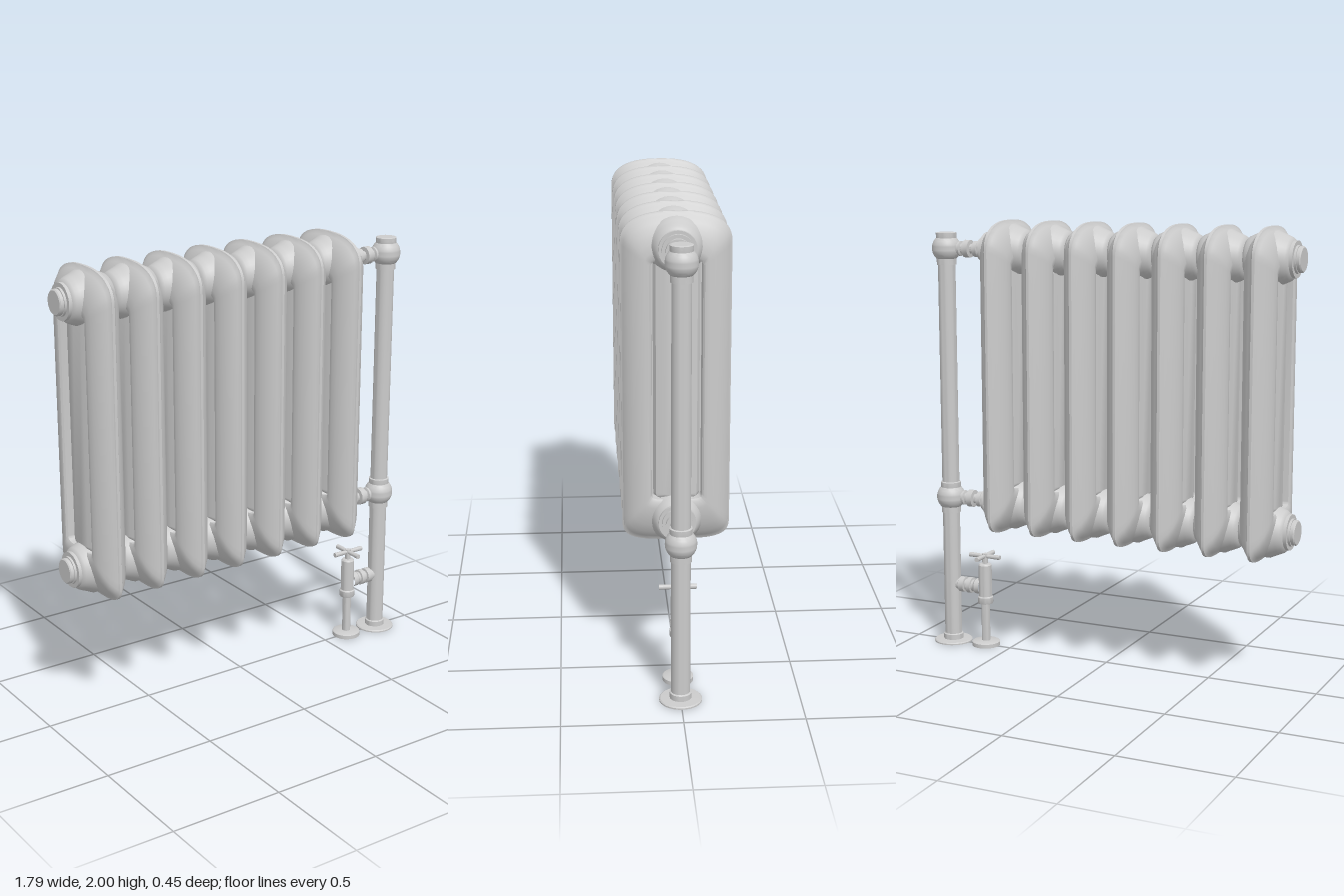
import * as THREE from 'three';
import { toCreasedNormals } from 'three/addons/utils/BufferGeometryUtils.js';

const mat = new THREE.MeshStandardMaterial({ color: 0xcccccc });
const TOP = 1.865, LOW = 0.705, PIPE_X = 0.805, VALVE_X = 0.628;

function add(parent, name, geo, x = 0, y = 0, z = 0) {
  const m = new THREE.Mesh(geo, mat);
  m.name = name;
  m.position.set(x, y, z);
  parent.add(m);
  return m;
}

// Turned part from [radius, position] pairs; runs along y, or along x if asked
function turned(profile, alongX = false, sides = 32) {
  const g = new THREE.LatheGeometry(profile.map(([r, p]) => new THREE.Vector2(r, p)), sides);
  if (alongX) g.rotateZ(-Math.PI / 2);
  return toCreasedNormals(g, 0.6);
}

// Hollow-looking cast column pair: closed loops lofted from the +x face, over the rim, to the -x face
function sectionGeometry() {
  const K = 24, rows = [];
  // Middle column and groove: [half depth, top, bottom, end height, x]
  const inner = [
    [0, 1.80, 0.80, 0, 0.058], [0.05, 1.81, 0.80, 0.02, 0.055],
    [0.085, 1.82, 0.79, 0.03, 0.042], [0.096, 1.82, 0.79, 0.03, 0.02],
    [0.102, 1.82, 0.79, 0.03, 0.02],
  ];
  // Outer column, from the groove to the thin rim: [blend, x]
  const outer = [[1, 0.062], [0.94, 0.069], [0.8, 0.07], [0.6, 0.064], [0.4, 0.053],
    [0.22, 0.037], [0.1, 0.02], [0.04, 0.009], [0, 0.006]];
  const half = [...inner, ...outer.map(([s, x]) => [
    0.226 - 0.121 * s, 2 - 0.18 * s, 0.59 + 0.2 * s, 0.13 - 0.1 * s, x])];
  half.forEach((r) => rows.push(r));
  [...half].reverse().forEach((r) => rows.push([...r.slice(0, 4), -r[4]]));

  const pos = [], idx = [], n = 2 * (K + 1);
  const pw = (v, e) => Math.sign(v) * Math.pow(Math.abs(v), e);
  for (const [hw, top, bot, ry, x] of rows) {
    for (let j = 0; j < n; j++) {
      const upper = j <= K;
      const a = ((upper ? j : j - K - 1) / K) * Math.PI;
      const e = upper ? 0.8 : 0.55;
      const c = pw(Math.cos(a), e) * (upper ? 1 : -1);
      const s = pw(Math.max(0, Math.sin(a)), e);
      pos.push(x, upper ? top - ry + ry * s : bot + ry * 0.8 * (1 - s), hw * c);
    }
  }
  for (let i = 0; i < rows.length - 1; i++) {
    for (let j = 0; j < n; j++) {
      const a = i * n + j, b = i * n + (j + 1) % n;
      idx.push(a, b, a + n, b, b + n, a + n);
    }
  }
  const g = new THREE.BufferGeometry();
  g.setAttribute('position', new THREE.Float32BufferAttribute(pos, 3));
  g.setIndex(idx);
  return toCreasedNormals(g, 0.7);
}

export function createModel() {
  const root = new THREE.Group();
  root.name = 'radiator';

  // Seven cast sections with barrel hubs that join them
  const section = sectionGeometry();
  const hub = turned([[0.07, -0.103], [0.082, -0.099], [0.092, -0.088], [0.1, -0.07], [0.108, -0.05],
    [0.118, -0.03], [0.118, 0.03], [0.108, 0.05], [0.1, 0.07], [0.092, 0.088], [0.082, 0.099], [0.07, 0.103]], true);
  for (let i = 0; i < 7; i++) {
    const g = new THREE.Group();
    g.name = 'section' + (i + 1);
    g.position.x = -0.757 + i * 0.2057;
    add(g, 'columns', section);
    add(g, 'upperHub', hub, 0, TOP);
    add(g, 'lowerHub', hub, 0, LOW);
    root.add(g);
  }

  // End plugs on one side, unions to the standpipe on the other
  const plug = turned([[0, -0.9], [0.05, -0.9], [0.055, -0.895], [0.055, -0.882], [0.06, -0.882],
    [0.06, -0.872], [0.078, -0.872], [0.078, -0.85], [0, -0.85]], true);
  const bush = turned([[0, 0.57], [0.078, 0.57], [0.078, 0.592], [0.065, 0.592], [0.065, 0.605],
    [0.05, 0.605], [0.05, 0.622], [0, 0.622]], true);
  const union = turned([[0.03, 0.61], [0.03, 0.632], [0.036, 0.634], [0.036, 0.655], [0.022, 0.66],
    [0.022, 0.675], [0.04, 0.677], [0.04, 0.705], [0.024, 0.707], [0.024, 0.722], [0.034, 0.726],
    [0.034, 0.735], [0.024, 0.74], [0.024, 0.79]], true, 16);
  const ball = [];
  for (let i = 0; i <= 12; i++) {
    const a = (-0.78 + (1.56 * i) / 12);
    ball.push([0.066 * Math.cos(a), 0.066 * Math.sin(a)]);
  }
  const joint = turned([[0.038, -0.075], [0.045, -0.075], [0.045, -0.047], ...ball,
    [0.047, 0.047], [0.047, 0.07], [0.04, 0.073]]);
  for (const [label, y] of [['upper', TOP], ['lower', LOW]]) {
    add(root, label + 'Plug', plug, 0, y);
    add(root, label + 'Bush', bush, 0, y);
    add(root, label + 'Union', union, 0, y);
    add(root, label + 'BallJoint', joint, PIPE_X, y);
  }

  // Standpipe with floor flange and cap
  add(root, 'standpipe', turned([[0, 0], [0.09, 0], [0.09, 0.006], [0.085, 0.01], [0.046, 0.012],
    [0.046, 0.036], [0.04, 0.04], [0.04, 1.92], [0.047, 1.92], [0.047, 1.932], [0.042, 1.937], [0, 1.937]]), PIPE_X);

  // Valve: floor disc, riser, nut and body
  const valve = new THREE.Group();
  valve.name = 'valve';
  valve.position.x = VALVE_X;
  root.add(valve);
  add(valve, 'valveBody', turned([[0, 0.008], [0.035, 0.008], [0.045, 0], [0.066, 0], [0.066, 0.018],
    [0.06, 0.022], [0.02, 0.024], [0.02, 0.205], [0.034, 0.205], [0.036, 0.21], [0.036, 0.235],
    [0.031, 0.24], [0.031, 0.39], [0.026, 0.396], [0.013, 0.398], [0.013, 0.445], [0, 0.445]], false, 24));
  add(valve, 'valveArm', turned([[0.036, 0.02], [0.036, 0.045], [0.028, 0.055], [0.028, 0.065],
    [0.037, 0.067], [0.037, 0.088], [0.026, 0.09], [0.026, 0.102], [0.036, 0.104], [0.036, 0.13],
    [0.028, 0.135], [0.028, 0.16]], true, 16), 0, 0.283);

  // Cross handle
  const bar = turned([[0, -0.08], [0.011, -0.08], [0.011, -0.06], [0.009, 0], [0.011, 0.06],
    [0.011, 0.08], [0, 0.08]], true, 12);
  for (let i = 0; i < 2; i++) {
    add(valve, 'handleBar', bar, 0, 0.433).rotation.y = (i * Math.PI) / 2;
  }
  return root;
}
